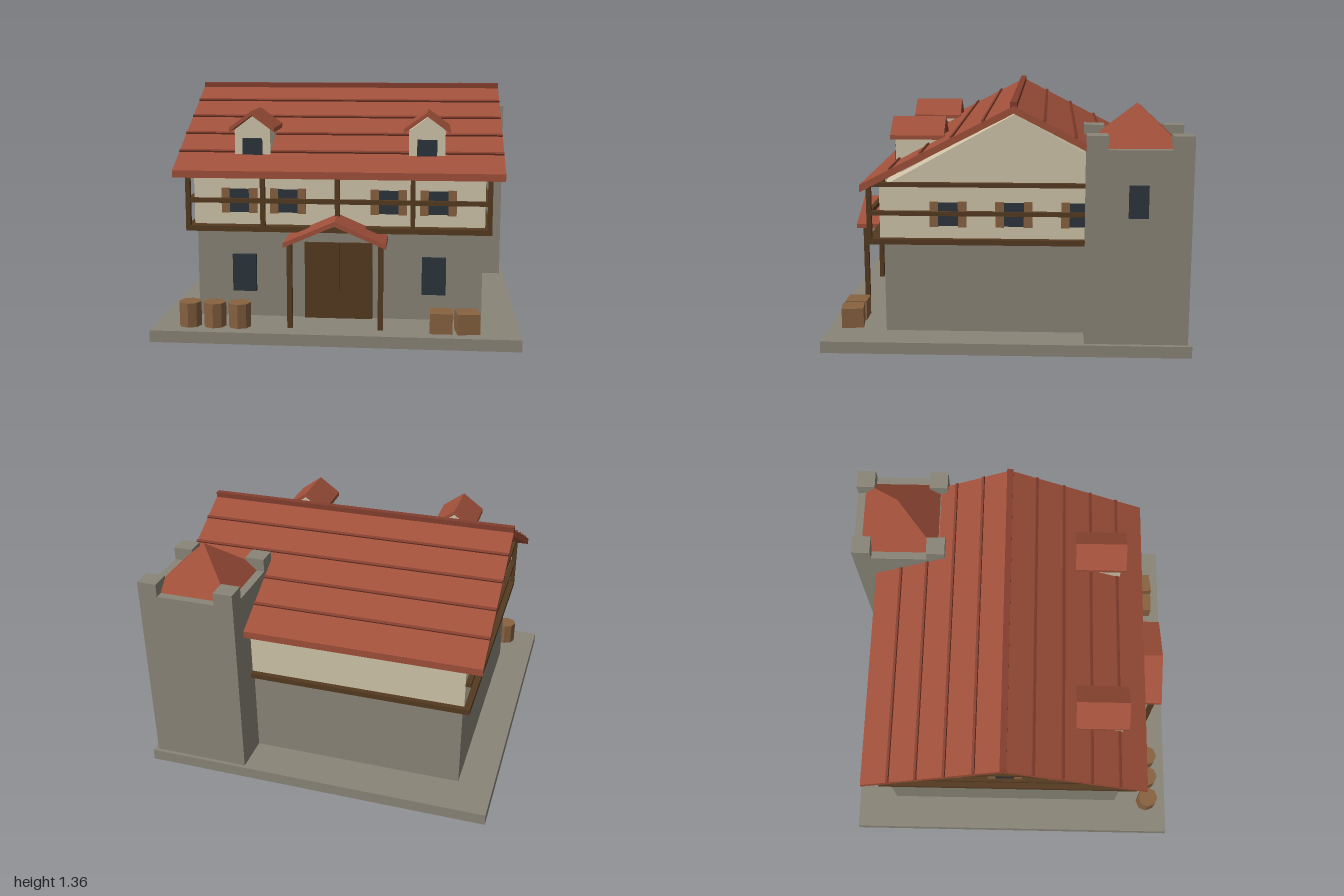
import * as THREE from 'three';

const mat = (name, color) => {
  const m = new THREE.MeshStandardMaterial({ color });
  m.name = name;
  return m;
};

export function createModel() {
  const stone = mat('stone', 0x8a8578);
  const plaster = mat('plaster', 0xd0c5a9);
  const tile = mat('roofTile', 0xa0503a);
  const tileDark = mat('darkTile', 0x843f2e);
  const timber = mat('timber', 0x543a20);
  const wood = mat('wood', 0x876240);
  const glass = mat('glass', 0x2d353c);

  const model = new THREE.Group();
  model.name = 'timberInn';

  const add = (name, geo, material, parent = model) => {
    const mesh = new THREE.Mesh(geo, material);
    mesh.name = name;
    parent.add(mesh);
    return mesh;
  };
  // Box given by its limits on each axis
  const box = (name, material, [x0, x1], [y0, y1], [z0, z1], parent) => {
    const mesh = add(name, new THREE.BoxGeometry(x1 - x0, y1 - y0, z1 - z0), material, parent);
    mesh.position.set((x0 + x1) / 2, (y0 + y1) / 2, (z0 + z1) / 2);
    return mesh;
  };
  // Outline in x and y, extruded along z and centred
  const prism = (points, length) => {
    const shape = new THREE.Shape(points.map(p => new THREE.Vector2(...p)));
    return new THREE.ExtrudeGeometry(shape, { depth: length, bevelEnabled: false }).translate(0, 0, -length / 2);
  };
  const gableBody = (w, y0, yEave, yApex, length) =>
    prism([[-w, y0], [w, y0], [w, yEave], [0, yApex], [-w, yEave]], length);
  const gableRoof = (w, yEave, yApex, t, length) =>
    prism([[-w, yEave - t], [0, yApex - t], [w, yEave - t], [w, yEave], [0, yApex], [-w, yEave]], length);

  // Base and ground storey
  box('groundSlab', stone, [-1, 1], [0, 0.065], [-1, 1]);
  box('groundStorey', stone, [-0.8, 0.8], [0.065, 0.58], [-0.76, 0.67]);

  // Upper storey with gables, and its floor
  const ridgeZ = -0.045;
  const upper = add('upperStorey', gableBody(0.735, 0.59, 0.875, 1.28, 1.62), plaster);
  upper.rotation.y = Math.PI / 2;
  upper.position.z = ridgeZ;
  box('upperFloor', timber, [-0.845, 0.845], [0.57, 0.6], [-0.81, 0.757]);

  // Main roof with battens and ridge cap
  const roof = add('mainRoof', gableRoof(0.823, 0.911, 1.335, 0.04, 1.82), tile);
  roof.rotation.y = Math.PI / 2;
  roof.position.z = ridgeZ;
  const slope = (1.335 - 0.911) / 0.823;
  for (const side of [-1, 1]) {
    for (const d of [0.16, 0.325, 0.49, 0.655]) {
      const batten = add('roofBatten', new THREE.BoxGeometry(1.82, 0.02, 0.016), tileDark);
      batten.position.set(0, 1.335 - slope * d, ridgeZ + side * d);
      batten.rotation.x = side * Math.atan(slope);
    }
  }
  box('ridgeCap', tileDark, [-0.91, 0.91], [1.315, 1.355], [ridgeZ - 0.018, ridgeZ + 0.018]);

  // Balcony frame and side rails
  for (const x of [-0.832, -0.414, 0, 0.414, 0.832])
    box('balconyPost', timber, [x - 0.013, x + 0.013], [0.6, 0.9], [0.73, 0.756]);
  box('balconyRail', timber, [-0.832, 0.832], [0.73, 0.755], [0.731, 0.755]);
  for (const s of [-1, 1]) {
    for (const y of [0.73, 0.888]) {
      const rail = box('sideRail', timber, [-0.015, 0.015], [y, y + 0.023], [-0.78, 0.755]);
      rail.position.x = s * 0.825;
    }
  }

  // Shuttered windows, built facing +z
  const shutteredWindow = (x, z, turn) => {
    const g = new THREE.Group();
    g.name = 'shutteredWindow';
    box('pane', glass, [-0.055, 0.055], [0.67, 0.8], [-0.01, 0.01], g);
    for (const s of [-1, 1])
      box('shutter', wood, [s * 0.077 - 0.023, s * 0.077 + 0.023], [0.665, 0.805], [-0.01, 0.014], g);
    g.position.set(x, 0, z);
    g.rotation.y = turn;
    model.add(g);
  };
  for (const x of [-0.553, -0.28, 0.28, 0.553]) shutteredWindow(x, 0.69, 0);
  for (const s of [-1, 1])
    for (const z of [0.315, -0.042, -0.398]) shutteredWindow(s * 0.81, z, s * Math.PI / 2);

  // Ground windows and double door
  for (const x of [-0.533, 0.533])
    box('groundWindow', glass, [x - 0.067, x + 0.067], [0.213, 0.425], [0.66, 0.69]);
  for (const s of [-1, 1])
    box('doorLeaf', timber, [s * 0.095 - 0.095, s * 0.095 + 0.095], [0.065, 0.5], [0.66, 0.69]);
  box('doorStrip', timber, [-0.008, 0.008], [0.065, 0.5], [0.66, 0.697]);

  // Porch
  for (const x of [-0.247, 0.247])
    box('porchPost', timber, [x - 0.014, x + 0.014], [0.065, 0.545], [0.866, 0.894]);
  add('porchRoof', gableRoof(0.276, 0.547, 0.667, 0.026, 0.26), tile).position.z = 0.8;

  // Dormers
  for (const x of [-0.487, 0.487]) {
    const g = new THREE.Group();
    g.name = 'dormer';
    add('dormerBody', gableBody(0.1, 0.925, 1.125, 1.2, 0.25), plaster, g).position.z = 0.505;
    add('dormerRoof', gableRoof(0.127, 1.137, 1.23, 0.024, 0.3), tile, g).position.z = 0.505;
    box('dormerWindow', glass, [-0.055, 0.055], [0.985, 1.077], [0.62, 0.64], g);
    g.position.x = x;
    model.add(g);
  }

  // Corner tower with merlons and pyramid roof
  const tx = 0.698, tz = -0.703, half = 0.277;
  box('tower', stone, [tx - half, tx + half], [0.065, 1.117], [tz - half, tz + half]);
  for (const sx of [-1, 1]) {
    for (const sz of [-1, 1]) {
      const merlon = add('merlon', new THREE.BoxGeometry(0.11, 0.075, 0.11), stone);
      merlon.position.set(tx + sx * (half - 0.055), 1.1535, tz + sz * (half - 0.055));
    }
  }
  const spire = new THREE.ConeGeometry(0.233 * Math.SQRT2, 0.22, 4, 1).rotateY(Math.PI / 4).toNonIndexed();
  spire.computeVertexNormals();
  add('towerRoof', spire, tile).position.set(tx, 1.225, tz);
  box('towerWindow', glass, [0.96, 0.993], [0.76, 0.933], [-0.75, -0.647]);

  // Barrels and crates
  const barrelGeo = new THREE.CylinderGeometry(0.062, 0.062, 0.135, 8).toNonIndexed();
  barrelGeo.computeVertexNormals();
  for (const x of [-0.802, -0.664, -0.527])
    add('barrel', barrelGeo, wood).position.set(x, 0.1325, 0.873);
  for (const [x, turn] of [[0.575, 0], [0.715, 0.13]]) {
    const crate = add('crate', new THREE.BoxGeometry(0.122, 0.112, 0.122), wood);
    crate.position.set(x, 0.121, 0.873);
    crate.rotation.y = turn;
  }

  return model;
}
